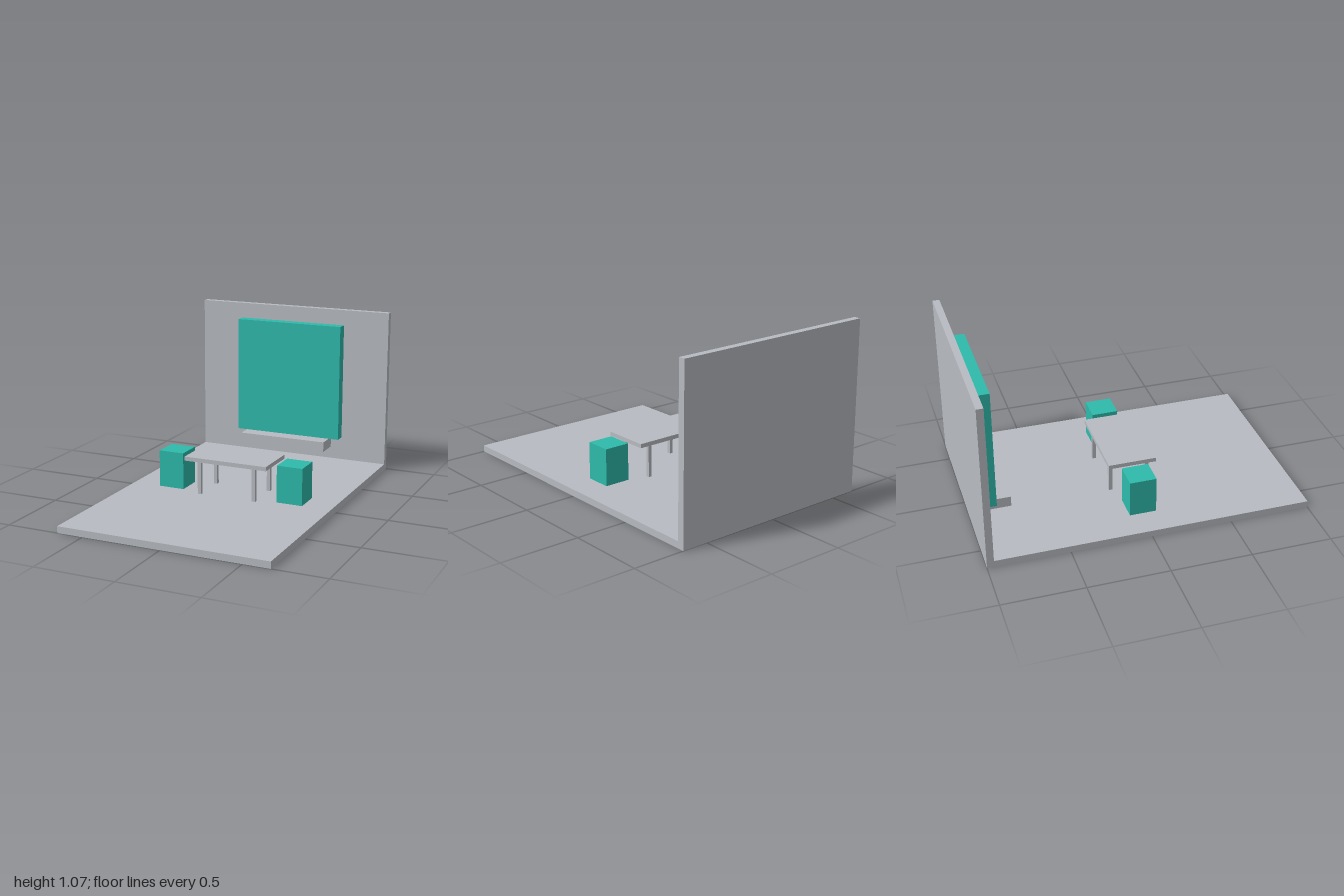
import * as THREE from 'three';

export function createModel() {
  const model = new THREE.Group();
  model.name = 'roomDisplay';

  const grey = new THREE.MeshStandardMaterial({ color: 0xb8bcc2 });
  grey.name = 'light grey';
  const teal = new THREE.MeshStandardMaterial({ color: 0x2ebbac });
  teal.name = 'teal';

  // Box given by its lower and upper limits on each axis
  function box(parent, name, material, [x0, x1], [y0, y1], [z0, z1]) {
    const mesh = new THREE.Mesh(new THREE.BoxGeometry(x1 - x0, y1 - y0, z1 - z0), material);
    mesh.position.set((x0 + x1) / 2, (y0 + y1) / 2, (z0 + z1) / 2);
    mesh.name = name;
    parent.add(mesh);
  }

  const floorTop = 0.042;
  const wallFront = -0.957;

  // Floor slab and back wall
  box(model, 'floor', grey, [-0.667, 0.667], [0, floorTop], [wallFront, 1]);
  box(model, 'backWall', grey, [-0.667, 0.667], [0, 1.068], [-1, wallFront]);

  // Wall panel with a ledge beneath it
  box(model, 'wallPanel', teal, [-0.367, 0.367], [0.201, 0.97], [-0.937, -0.866]);
  box(model, 'ledge', grey, [-0.3, 0.3], [0.135, 0.201], [-0.912, -0.767]);

  // Table: top and four legs
  const table = new THREE.Group();
  table.name = 'table';
  model.add(table);
  box(table, 'tableTop', grey, [-0.273, 0.273], [0.253, 0.279], [-0.15, 0.15]);
  const half = 0.0115;
  for (const x of [-0.183, 0.183]) {
    for (const z of [-0.117, 0.117]) {
      box(table, 'tableLeg', grey, [x - half, x + half], [floorTop, 0.253], [z - half, z + half]);
    }
  }

  // Block stools at both ends of the table
  for (const [name, x] of [['rightStool', -0.4], ['leftStool', 0.4]]) {
    box(model, name, teal, [x - 0.083, x + 0.083], [floorTop, 0.276], [-0.083, 0.083]);
  }

  return model;
}
